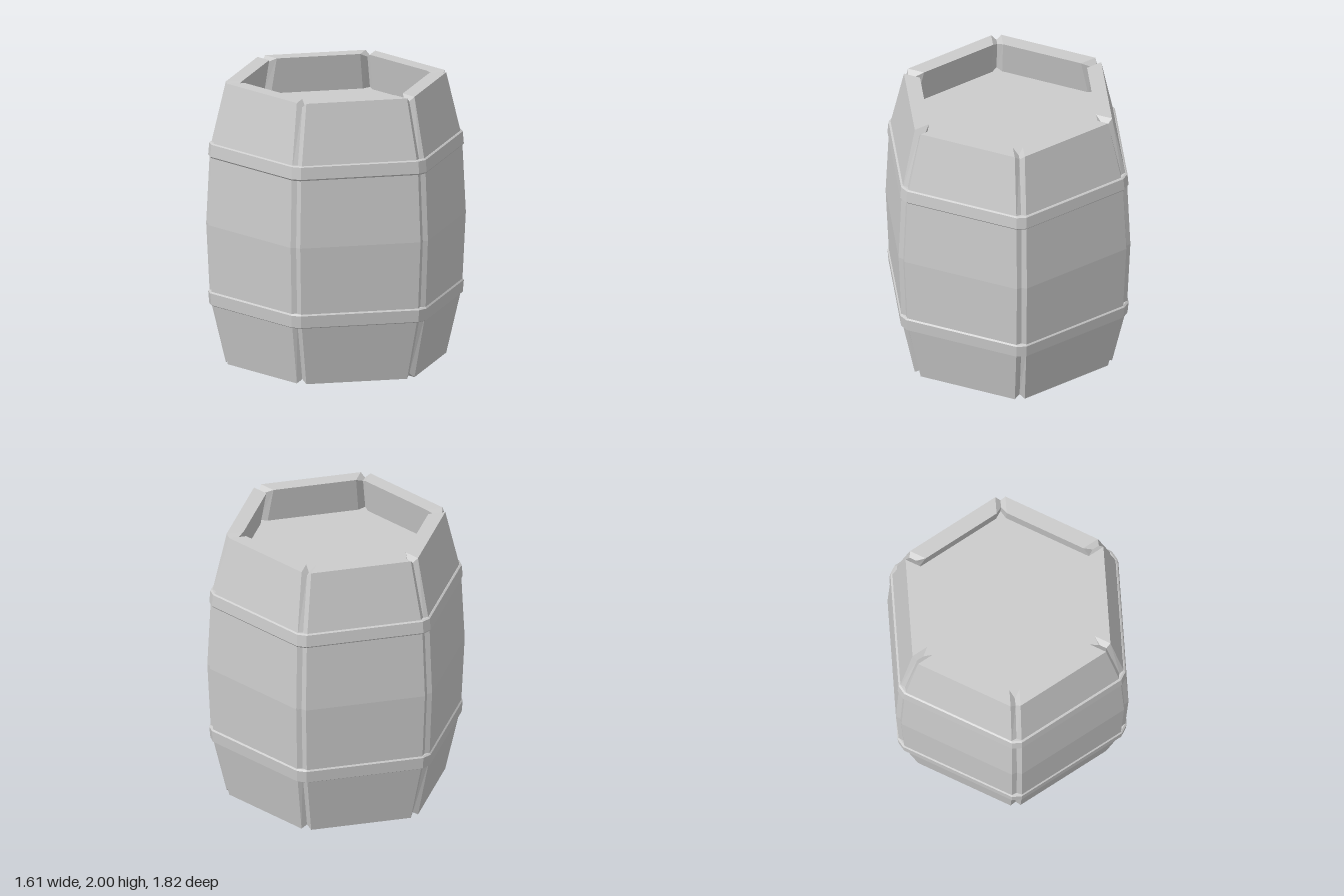
import * as THREE from 'three';

const SIDES = 6;
const GAP = 0.04;    // groove half width measured along a panel
const DEPTH = 0.03;  // groove depth

// Corner k of a hexagon with the given apothem, first corner on +z
function corner(apothem, y, k) {
  const r = apothem / Math.cos(Math.PI / SIDES);
  const t = (k * Math.PI * 2) / SIDES;
  return new THREE.Vector3(r * Math.sin(t), y, r * Math.cos(t));
}

// Hexagonal ring with clipped corners; a core point [apothem, y] adds the groove bottom
function ring([apothem, y], core) {
  const points = [];
  for (let k = 0; k < SIDES; k++) {
    const v = corner(apothem, y, k);
    const toward = (n) => corner(apothem, y, n).sub(v).setLength(GAP).add(v);
    points.push(toward(k - 1));
    if (core) points.push(corner(core[0], core[1], k));
    points.push(toward(k + 1));
  }
  return points;
}

// Skin between successive rings
function loft(rings) {
  const positions = [];
  for (let i = 0; i < rings.length - 1; i++) {
    const n = rings[i].length;
    for (let j = 0; j < n; j++) {
      const a = rings[i][j], b = rings[i][(j + 1) % n];
      const c = rings[i + 1][(j + 1) % n], d = rings[i + 1][j];
      for (const p of [a, b, c, a, c, d]) positions.push(p.x, p.y, p.z);
    }
  }
  const geometry = new THREE.BufferGeometry();
  geometry.setAttribute('position', new THREE.Float32BufferAttribute(positions, 3));
  geometry.computeVertexNormals();
  return geometry;
}

export function createModel() {
  const group = new THREE.Group();
  const material = new THREE.MeshStandardMaterial({ color: 0xcccccc, flatShading: true });
  const add = (name, geometry) => {
    const mesh = new THREE.Mesh(geometry, material);
    mesh.name = name;
    group.add(mesh);
    return mesh;
  };

  // Staves: inside bottom, rim, bulging outside, rim, inside top.
  // Each entry is [apothem, y, groove shift in apothem, groove shift in y]
  const profile = [
    [0.60, 0.10, DEPTH, 0],
    [0.58, 0.00, DEPTH, DEPTH],
    [0.685, 0.00, -DEPTH, DEPTH],
    [0.782, 0.47, -DEPTH, 0],
    [0.805, 1.00, -DEPTH, 0],
    [0.782, 1.53, -DEPTH, 0],
    [0.685, 2.00, -DEPTH, -DEPTH],
    [0.58, 2.00, DEPTH, -DEPTH],
    [0.635, 1.71, DEPTH, 0],
  ];
  add('staves', loft(profile.map(([a, y, da, dy]) => ring([a, y], [a + da, y + dy]))));

  // Hoops: bevelled bands, the lower one mirrored from the upper
  const upper = [
    [0.745, 1.474], [0.783, 1.475], [0.793, 1.487],
    [0.786, 1.572], [0.775, 1.579], [0.745, 1.579],
  ];
  const lower = upper.map(([a, y]) => [a, 2 - y]).reverse();
  add('upperHoop', loft(upper.map((p) => ring(p))));
  add('lowerHoop', loft(lower.map((p) => ring(p))));

  // Recessed end boards
  const board = (name, apothem, y) => {
    const r = apothem / Math.cos(Math.PI / SIDES);
    add(name, new THREE.CylinderGeometry(r, r, 0.04, SIDES)).position.y = y;
  };
  board('lid', 0.67, 1.72);
  board('base', 0.645, 0.08);

  return group;
}
